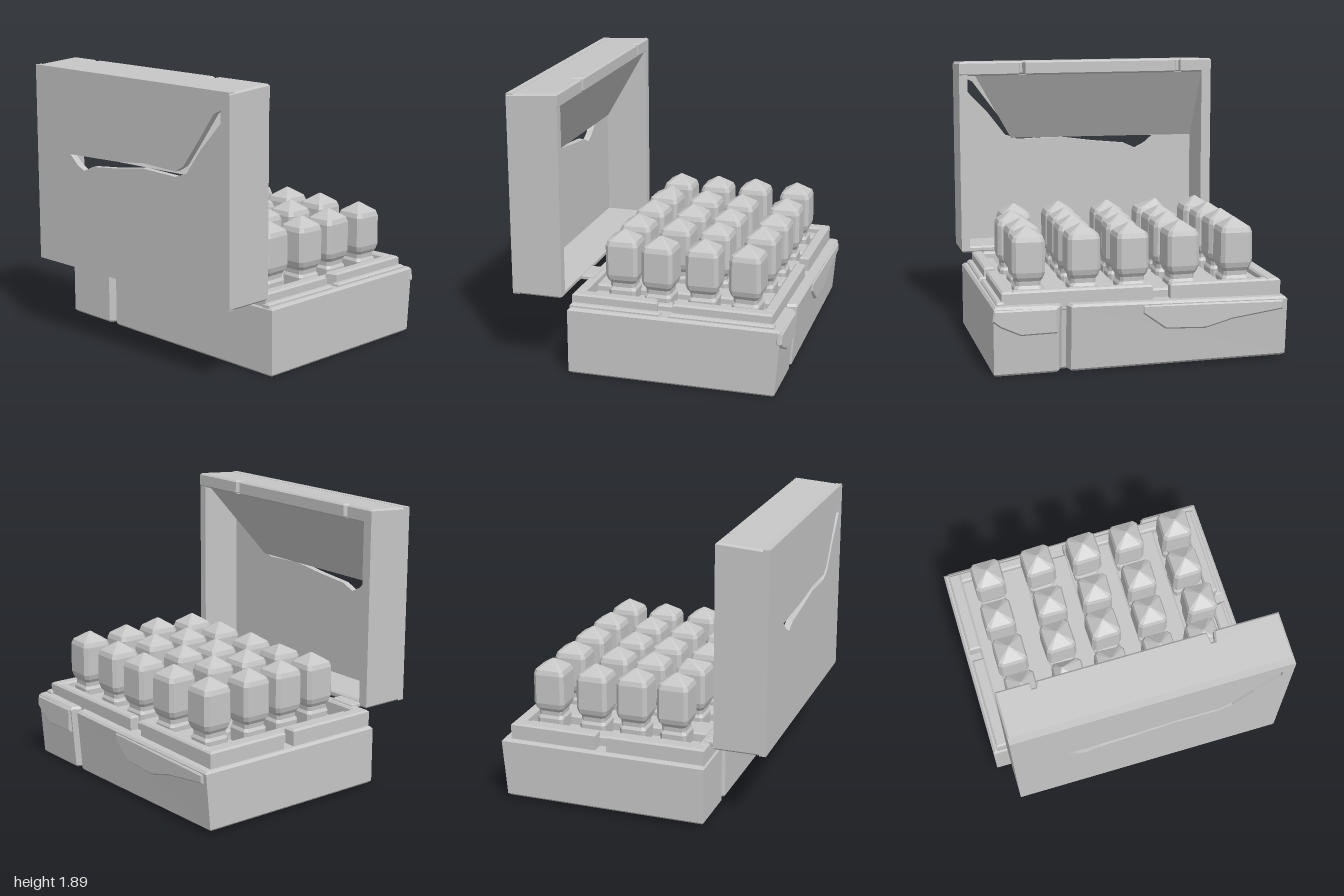
import * as THREE from 'three';

const X = new THREE.Vector3(1, 0, 0), Y = new THREE.Vector3(0, 1, 0), Z = new THREE.Vector3(0, 0, 1);
const stone = new THREE.MeshStandardMaterial({ color: 0xc6c6c6 });
stone.name = 'grey stone';

function add(group, name, geometry) {
  const mesh = new THREE.Mesh(geometry, stone);
  mesh.name = name;
  group.add(mesh);
  return mesh;
}

function extrude(points, depth, bevel, holes = []) {
  const toVectors = (list) => list.map(([a, b]) => new THREE.Vector2(a, b));
  const shape = new THREE.Shape(toVectors(points));
  holes.forEach((h) => shape.holes.push(new THREE.Path(toVectors(h))));
  const geometry = new THREE.ExtrudeGeometry(shape, {
    depth: depth - 2 * bevel, bevelEnabled: bevel > 0, bevelSize: bevel,
    bevelThickness: bevel, bevelOffset: -bevel, bevelSegments: 1,
  });
  return geometry.translate(0, 0, bevel);
}

// Outline in (x, z), filling from y = top downwards
function planSlab(points, top, depth, bevel = 0.012) {
  const m = new THREE.Matrix4().makeBasis(X, Z, Y.clone().negate()).setPosition(0, top, 0);
  return extrude(points, depth, bevel).applyMatrix4(m);
}

// Outline in (z, y), filling from x = outer towards -x
function sideSlab(points, outer, depth, bevel = 0, holes = []) {
  const m = new THREE.Matrix4().makeBasis(Z, Y, X.clone().negate()).setPosition(outer, 0, 0);
  return extrude(points, depth, bevel, holes).applyMatrix4(m);
}

const rect = (a0, a1, b0, b1) => [[a0, b0], [a1, b0], [a1, b1], [a0, b1]];

// Move every vertex by a rule, then restore flat normals
function deform(geometry, rule) {
  const p = geometry.attributes.position, v = new THREE.Vector3();
  for (let i = 0; i < p.count; i++) {
    v.fromBufferAttribute(p, i);
    rule(v);
    p.setXYZ(i, v.x, v.y, v.z);
  }
  geometry.computeVertexNormals();
  return geometry;
}

// Bottle: chamfered square sections stacked along y
function bottleGeometry(apexX = 0, apexZ = 0) {
  const levels = [[0.44, 0.088], [0.53, 0.092], [0.55, 0.08], [0.58, 0.082], [0.605, 0.098],
    [0.64, 0.108], [0.84, 0.107], [0.872, 0.096], [0.932, 0.008]];
  const c = 0.78;
  const ring = [[1, c], [c, 1], [-c, 1], [-1, c], [-1, -c], [-c, -1], [c, -1], [1, -c]];
  const positions = [], index = [];
  levels.forEach(([y, r], i) => {
    const tip = i === levels.length - 1 ? 1 : 0;
    ring.forEach(([x, z]) => positions.push(x * r + apexX * tip, y, z * r + apexZ * tip));
  });
  const n = ring.length, last = (levels.length - 1) * n;
  for (let l = 0; l < levels.length - 1; l++) {
    for (let k = 0; k < n; k++) {
      const a = l * n + k, b = l * n + (k + 1) % n;
      index.push(a, a + n, b, b, a + n, b + n);
    }
  }
  for (let k = 1; k < n - 1; k++) index.push(last, last + k + 1, last + k);
  const g = new THREE.BufferGeometry();
  g.setAttribute('position', new THREE.Float32BufferAttribute(positions, 3));
  g.setIndex(index);
  const flat = g.toNonIndexed();
  flat.computeVertexNormals();
  return flat;
}

function buildBase() {
  const base = new THREE.Group();
  base.name = 'base';
  // Body settles slightly towards the back and leans in at the lower right
  const settle = (v) => {
    const back = (1 - v.z) / 2;
    const low = 1 - v.y / 0.46;
    v.y += v.y < 0.2 ? 0.025 * back : -0.03 * back;
    if (v.x > 0.75) v.x -= 0.035 * low;
  };
  const outline = [
    [-0.53, -0.98], [0.89, -0.98], [0.9, 0.47], [0.83, 0.49], [0.83, 0.52], [0.9, 0.55],
    [0.9, 0.97], [-0.53, 0.98], [-0.53, -0.52], [-0.49, -0.54], [-0.49, -0.57], [-0.53, -0.6],
  ];
  add(base, 'base body', deform(planSlab(outline, 0.46, 0.46, 0.015), settle));
  // Cracked outer skin on the right side
  add(base, 'corner chip', sideSlab(
    [[0.98, 0.37], [0.93, 0.33], [0.8, 0.27], [0.56, 0.275], [0.56, 0.44], [0.97, 0.44]], 0.91, 0.04, 0.01));
  add(base, 'side chip', sideSlab(
    [[0, 0.37], [-0.15, 0.26], [-0.42, 0.25], [-0.6, 0.3], [-0.95, 0.35], [-0.95, 0.41], [0, 0.425]],
    0.902, 0.04, 0.01));

  // Raised rim, broken in three places
  const rim = [
    [[-0.52, 0.91], [-0.52, 0.83], [0.05, 0.83], [0.07, 0.91]],
    [[0.17, 0.91], [0.15, 0.83], [0.83, 0.83], [0.83, 0.91]],
    rect(-0.52, 0.15, -0.95, -0.86), rect(0.23, 0.83, -0.95, -0.86),
    rect(0.76, 0.83, -0.08, 0.84), rect(0.76, 0.83, -0.87, -0.2),
    rect(-0.52, -0.45, -0.87, 0.84),
  ];
  rim.forEach((points, i) => add(base, 'rim ' + (i + 1), planSlab(points, 0.54, 0.14)));
  // Outer step at the foot of the rim
  [rect(-0.525, 0.09, 0.89, 0.945), rect(0.15, 0.85, 0.89, 0.945)]
    .forEach((points) => add(base, 'rim step', planSlab(points, 0.48, 0.06)));

  // Raised floor strips with a channel under each row
  [[-0.87, -0.76], [-0.6, -0.4], [-0.24, -0.07], [0.1, 0.26], [0.42, 0.6], [0.76, 0.84]]
    .forEach(([z0, z1]) => add(base, 'floor strip', planSlab(rect(-0.46, 0.77, z0, z1), 0.5, 0.08)));
  return base;
}

function buildBottles() {
  const bottles = new THREE.Group();
  bottles.name = 'bottles';
  const columns = [-0.24, 0.04, 0.32, 0.63];
  const rows = [
    [-0.67, -0.68, -0.69, -0.68], [-0.33, -0.33, -0.31, -0.31], [-0.02, 0, 0.02, 0.03],
    [0.33, 0.34, 0.35, 0.35], [0.65, 0.71, 0.69, 0.71],
  ];
  const plain = bottleGeometry(), chipped = bottleGeometry(0.03, -0.04);
  rows.forEach((row, r) => row.forEach((z, c) => {
    const bottle = add(bottles, 'bottle', r === 1 && c === 0 ? chipped : plain);
    const wobble = Math.sin(r * 5.3 + c * 3.1);
    bottle.position.set(columns[c] + 0.008 * wobble, 0, z);
    bottle.rotation.y = 0.04 * wobble;
    bottle.scale.set(1 + 0.02 * wobble, 1 - 0.008 * Math.abs(wobble), 1);
  }));
  return bottles;
}

function buildLid() {
  const lid = new THREE.Group();
  lid.name = 'lid';
  // Back panel split by a long crack
  const crack = [
    [0.9, 1.76], [0.9, 1.68], [0.73, 1.5], [0.6, 1.33], [0.5, 1.295], [0.2, 1.305], [-0.05, 1.27],
    [-0.3, 1.245], [-0.39, 1.205], [-0.46, 1.24], [-0.53, 1.3], [-0.05, 1.315], [0.2, 1.34],
    [0.5, 1.33], [0.57, 1.37], [0.7, 1.54], [0.84, 1.73],
  ];
  add(lid, 'back panel', sideSlab(rect(-0.88, 0.97, 0.52, 1.875), -0.865, 0.045, 0, [crack]));
  // Fallen panel leaning from the crack to the opening
  const lean = (v) => { v.x += (v.y - 1.3) * 0.58; };
  add(lid, 'leaning panel', deform(
    sideSlab([[0.86, 1.8], [0.56, 1.31], [-0.82, 1.3], [-0.82, 1.8]], -0.86, 0.02), lean));
  // Side walls
  add(lid, 'front wall', planSlab(rect(-0.91, -0.565, 0.915, 0.975), 1.85, 1.33));
  add(lid, 'rear wall', planSlab(rect(-0.91, -0.56, -0.88, -0.81), 1.87, 1.35));
  add(lid, 'bottom wall', planSlab(rect(-0.91, -0.565, -0.87, 0.97), 0.565, 0.045));
  // Top wall with two cracks in its open edge
  const top = [
    [-0.91, -0.88], [-0.56, -0.88], [-0.56, -0.65], [-0.6, -0.645], [-0.6, -0.625], [-0.56, -0.61],
    [-0.56, 0.5], [-0.63, 0.51], [-0.63, 0.53], [-0.56, 0.545], [-0.56, 0.975], [-0.91, 0.975],
  ];
  const tilt = (v) => { if (v.y > 1.83) v.y += (v.x + 0.56) * 0.07; };
  add(lid, 'top wall', deform(planSlab(top, 1.895, 0.1), tilt));
  return lid;
}

export function createModel() {
  const model = new THREE.Group();
  model.name = 'open stone case';
  model.add(buildBase(), buildBottles(), buildLid());
  // Hinges joining lid and base
  [-0.72, 0.5].forEach((z) => add(model, 'hinge', planSlab(rect(-0.6, -0.48, z - 0.1, z + 0.1), 0.55, 0.03, 0.006)));
  return model;
}
